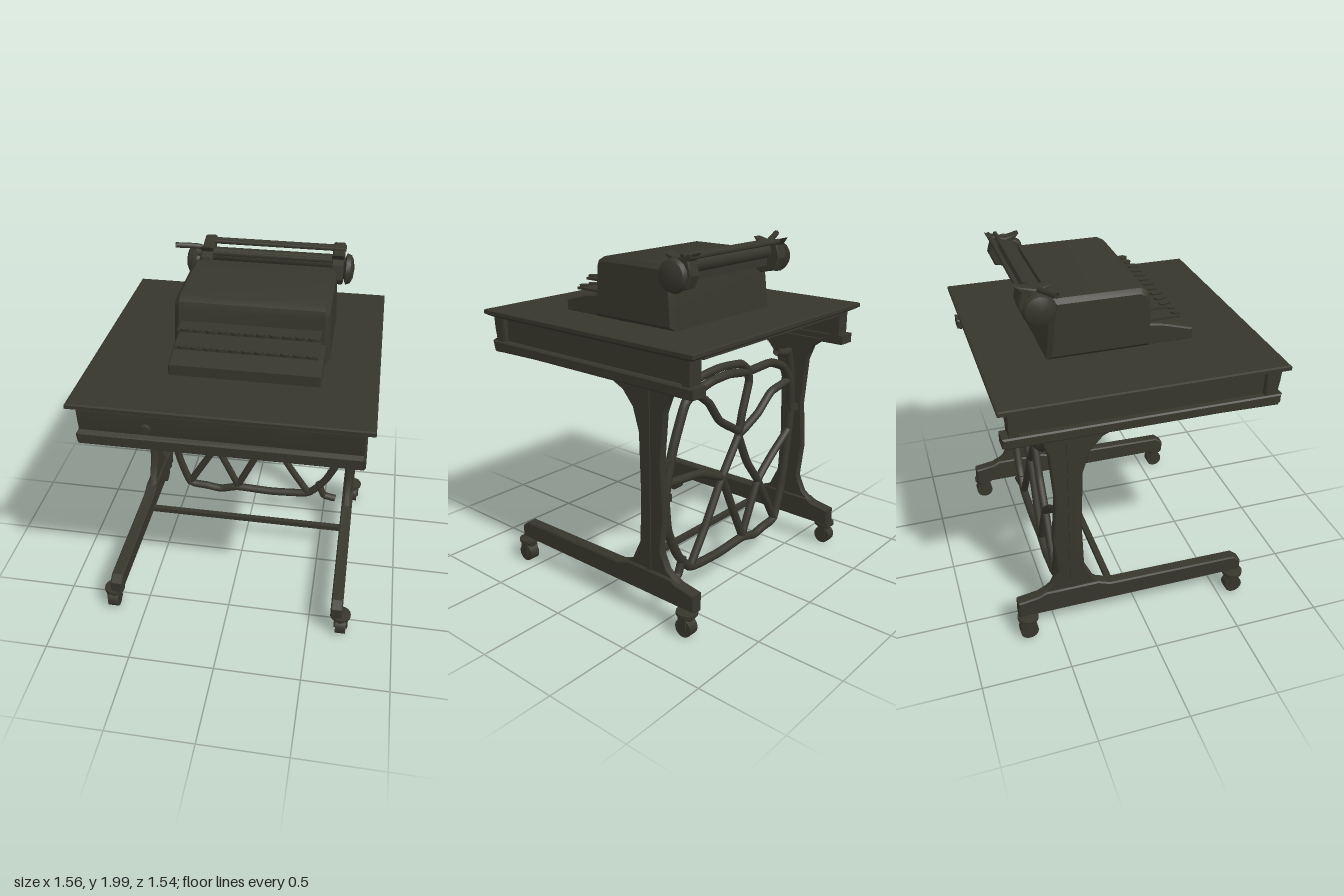
import * as THREE from 'three';
import { toCreasedNormals } from 'three/addons/utils/BufferGeometryUtils.js';

export function createModel() {
  const model = new THREE.Group();
  const iron = new THREE.MeshStandardMaterial({ color: 0x37362c, side: THREE.DoubleSide });
  iron.name = 'dark iron';

  const add = (name, geo, x = 0, y = 0, z = 0, parent = model) => {
    const m = new THREE.Mesh(geo, iron);
    m.name = name;
    m.position.set(x, y, z);
    parent.add(m);
    return m;
  };
  const box = (name, w, h, d, x, y, z, parent) => add(name, new THREE.BoxGeometry(w, h, d), x, y, z, parent);
  const vec2 = (pts) => pts.map(([a, b]) => new THREE.Vector2(a, b));
  // Side outline given as [z, y], thickened along x and centred
  const sidePlate = (pts, width, bevel = 0.008) => {
    const g = new THREE.ExtrudeGeometry(new THREE.Shape(vec2(pts)), {
      depth: width - 2 * bevel, bevelEnabled: bevel > 0, bevelSize: bevel,
      bevelThickness: bevel, bevelOffset: -bevel, bevelSegments: 1,
    });
    g.translate(0, 0, -width / 2 + bevel);
    g.rotateY(-Math.PI / 2);
    return toCreasedNormals(g, 0.6);
  };
  const tube = (name, pts, r, parent, closed = false) => {
    const curve = new THREE.CatmullRomCurve3(pts.map((p) => new THREE.Vector3(...p)), closed, 'catmullrom', 0.25);
    return add(name, new THREE.TubeGeometry(curve, pts.length * 6, r, 8, closed), 0, 0, 0, parent);
  };
  const lathe = (pts, sides = 16) => toCreasedNormals(new THREE.LatheGeometry(vec2(pts), sides), 0.6);

  // Table top slab with moulded edge: a four-sided lathe
  const topProfile = [[0, 1.53], [0.735, 1.53], [0.755, 1.54], [0.78, 1.555], [0.78, 1.575], [0.77, 1.58], [0, 1.58]];
  const top = new THREE.LatheGeometry(vec2(topProfile.map(([r, y]) => [r * Math.SQRT2, y])), 4, Math.PI / 4);
  add('tableTop', toCreasedNormals(top, 0.3)).scale.set(1, 1, 0.988);

  // Apron on the front and both sides; the back is open
  const frontApron = [[0.66, 1.535], [0.745, 1.535], [0.74, 1.47], [0.73, 1.41], [0.755, 1.395], [0.755, 1.34], [0.735, 1.325], [0.66, 1.33]];
  add('drawerFront', sidePlate(frontApron, 1.46, 0));
  for (const s of [-1, 1]) {
    box('sideApron', 0.055, 0.185, 1.38, s * 0.6775, 1.4425, -0.01);
    add('sideLip', sidePlate([[0.74, 1.33], [0.755, 1.395], [-0.75, 1.4], [-0.75, 1.345], [-0.73, 1.338], [0.4, 1.338]], 0.1), s * 0.695);
    for (const z of [-0.69, 0.69]) box('cornerPost', 0.09, 0.16, 0.05, s * 0.69, 1.455, z);
  }
  // Curved sheet under the top that sweeps down to the drawer
  add('undersidePanel', sidePlate([[-0.74, 1.54], [-0.74, 1.525], [-0.2, 1.515], [0.2, 1.48], [0.5, 1.415], [0.7, 1.345], [0.7, 1.54]], 1.32, 0));
  const knob = add('drawerKnob', lathe([[0.012, 0], [0.014, 0.01], [0.03, 0.02], [0.026, 0.033], [0, 0.037]]), -0.37, 1.465, 0.735);
  knob.rotation.x = Math.PI / 2;

  // Side frames: flared column on a long foot, with casters
  const column = [[-0.18, 0.25], [-0.275, 0.325], [-0.33, 0.44], [-0.34, 0.71], [-0.33, 1.07], [-0.29, 1.2],
    [-0.22, 1.28], [-0.11, 1.33], [-0.11, 1.36], [-0.62, 1.36], [-0.6, 1.34], [-0.545, 1.3], [-0.51, 1.21], [-0.485, 0.92],
    [-0.505, 0.65], [-0.48, 0.43], [-0.525, 0.335], [-0.59, 0.285], [-0.66, 0.25]];
  const foot = [[0.64, 0.155], [0.64, 0.225], [0.595, 0.262], [-0.18, 0.272], [-0.25, 0.3], [-0.56, 0.3],
    [-0.6, 0.28], [-0.72, 0.26], [-0.72, 0.155]];
  const casterStem = [[0, 0.08], [0.03, 0.085], [0.038, 0.125], [0.06, 0.138], [0.06, 0.155], [0, 0.165]];
  for (const s of [-1, 1]) {
    const side = new THREE.Group();
    side.name = s > 0 ? 'leftFrame' : 'rightFrame';
    model.add(side);
    add('column', sidePlate(column, 0.045), s * 0.662, 0, 0, side);
    add('foot', sidePlate(foot, 0.07), s * 0.665, 0, 0, side);
    box('columnRib', 0.012, 1.05, 0.03, s * 0.686, 0.8, -0.4, side);
    for (const z of [0.595, -0.67]) {
      const caster = new THREE.Group();
      caster.name = 'caster';
      caster.position.set(s * 0.69, 0, z);
      side.add(caster);
      add('casterStem', lathe(casterStem), 0, 0, 0, caster);
      const wheel = add('casterWheel', toCreasedNormals(new THREE.CylinderGeometry(0.052, 0.052, 0.062, 16), 0.6), s * 0.005, 0.064, 0, caster);
      wheel.rotation.z = Math.PI / 2;
      for (const d of [-0.036, 0.036]) box('casterFork', 0.01, 0.08, 0.05, d + s * 0.005, 0.1, 0, caster);
    }
  }
  box('crossBar', 1.3, 0.03, 0.035, 0, 0.172, -0.15);

  // Openwork back panel: rounded ring with branching struts
  const lattice = new THREE.Group();
  lattice.name = 'backLattice';
  lattice.position.z = -0.445;
  model.add(lattice);
  const flat = (pts) => pts.map(([x, y]) => [x, y, 0]);
  tube('ring', flat([[-0.44, 0.2], [-0.51, 0.4], [-0.56, 0.68], [-0.585, 0.92], [-0.56, 1.08], [-0.48, 1.19],
    [-0.34, 1.245], [-0.12, 1.24], [0.06, 1.265], [0.22, 1.26], [0.35, 1.23], [0.44, 1.19], [0.53, 0.99], [0.57, 0.86],
    [0.605, 0.7], [0.585, 0.5], [0.5, 0.32], [0.39, 0.205], [0.14, 0.185], [-0.1, 0.195], [-0.22, 0.165], [-0.32, 0.18]]), 0.026, lattice, true);
  const struts = [
    [[-0.54, 1.09], [-0.36, 1.06], [-0.23, 0.96], [-0.1, 0.9], [-0.04, 0.88]],
    [[-0.04, 0.87], [-0.07, 1.0], [-0.13, 1.18], [-0.11, 1.25]],
    [[-0.04, 0.9], [0.14, 1.01], [0.24, 1.14], [0.36, 1.23]],
    [[-0.04, 0.87], [0.11, 0.66], [0.27, 0.39], [0.39, 0.21]],
    [[-0.04, 0.87], [-0.13, 0.68], [-0.25, 0.52], [-0.44, 0.2]],
    [[-0.56, 0.76], [-0.4, 0.65], [-0.25, 0.52], [-0.1, 0.21]],
    [[-0.1, 0.21], [0.0, 0.42], [0.11, 0.66]],
    [[0.11, 0.66], [0.32, 0.75], [0.59, 0.78]],
    [[-0.14, 1.23], [-0.05, 1.3], [0.14, 1.32], [0.34, 1.3], [0.44, 1.19]],
    [[-0.585, 0.95], [-0.57, 1.12], [-0.535, 1.27]],
    [[-0.54, 1.275], [-0.46, 1.28], [-0.4, 1.3]],
    [[0.46, 0.3], [0.5, 0.2], [0.58, 0.18]],
  ];
  for (const s of struts) tube('strut', flat(s), 0.024, lattice);
  for (const [x, y] of [[-0.61, 0.9], [0.6, 0.9], [0.62, 0.7]]) box('latticeLug', 0.1, 0.04, 0.04, x, y, 0, lattice);

  // Typewriter
  const typewriter = new THREE.Group();
  typewriter.name = 'typewriter';
  typewriter.position.x = 0.075;
  model.add(typewriter);
  const shell = sidePlate([[0.155, 1.575], [0.155, 1.85], [0.143, 1.885], [0.1, 1.91], [-0.375, 1.91], [-0.4, 1.77], [-0.42, 1.575]], 0.86, 0.025);
  const p = shell.attributes.position;
  for (let i = 0; i < p.count; i++) p.setX(i, p.getX(i) * (1 - (p.getY(i) - 1.58) * 0.1));
  add('shell', shell, 0, 0, 0, typewriter);
  add('keyboardBase', sidePlate([[0.4, 1.575], [0.4, 1.64], [0.24, 1.685], [0.14, 1.7], [0.14, 1.575]], 0.81), 0, 0, 0, typewriter);
  // Two overhanging rows of keys
  for (const [y, z, reach] of [[1.775, 0.27, 0.12], [1.712, 0.345, 0.2]]) {
    box('keyBar', 0.76, 0.014, reach, 0, y - 0.004, z - reach / 2 - 0.012, typewriter);
    for (let i = 0; i < 11; i++)
      add('key', new THREE.CylinderGeometry(0.027, 0.024, 0.016, 10), (i - 5) * 0.068, y + 0.004, z - 0.025, typewriter);
  }

  // Carriage: platen, rails, end brackets, knobs and return lever
  const carriage = new THREE.Group();
  carriage.name = 'carriage';
  model.add(carriage);
  const rod = (name, r, x0, x1, y, z) => {
    const m = add(name, toCreasedNormals(new THREE.CylinderGeometry(r, r, x1 - x0, 14), 0.6), (x0 + x1) / 2, y, z, carriage);
    m.rotation.z = Math.PI / 2;
  };
  rod('platen', 0.042, -0.34, 0.52, 1.915, -0.455);
  rod('backRail', 0.014, -0.24, 0.53, 1.972, -0.535);
  rod('middleRail', 0.012, -0.24, 0.53, 1.975, -0.495);
  rod('frontRail', 0.014, -0.24, 0.53, 1.935, -0.42);
  box('carriageBase', 0.72, 0.05, 0.1, 0.12, 1.86, -0.42, carriage);
  const bracket = [[-0.34, 1.85], [-0.36, 1.93], [-0.4, 1.95], [-0.37, 1.985], [-0.45, 1.965], [-0.56, 1.99],
    [-0.53, 1.95], [-0.55, 1.88], [-0.52, 1.81], [-0.42, 1.79]];
  for (const x of [-0.27, 0.49]) add('endBracket', sidePlate(bracket, 0.07), x, 0, 0, carriage);
  const knobProfile = [[0, 0], [0.05, 0], [0.055, 0.02], [0.09, 0.035], [0.08, 0.06], [0.05, 0.075], [0, 0.08]];
  for (const [s, x] of [[-1, -0.315], [1, 0.505]]) {
    const k = add('platenKnob', lathe(knobProfile), x, 1.875, -0.45, carriage);
    k.rotation.z = -s * Math.PI / 2;
  }
  tube('returnLever', [[-0.26, 1.93, -0.45], [-0.32, 1.965, -0.43], [-0.38, 1.975, -0.41], [-0.45, 1.985, -0.38]], 0.016, carriage);

  return model;
}
